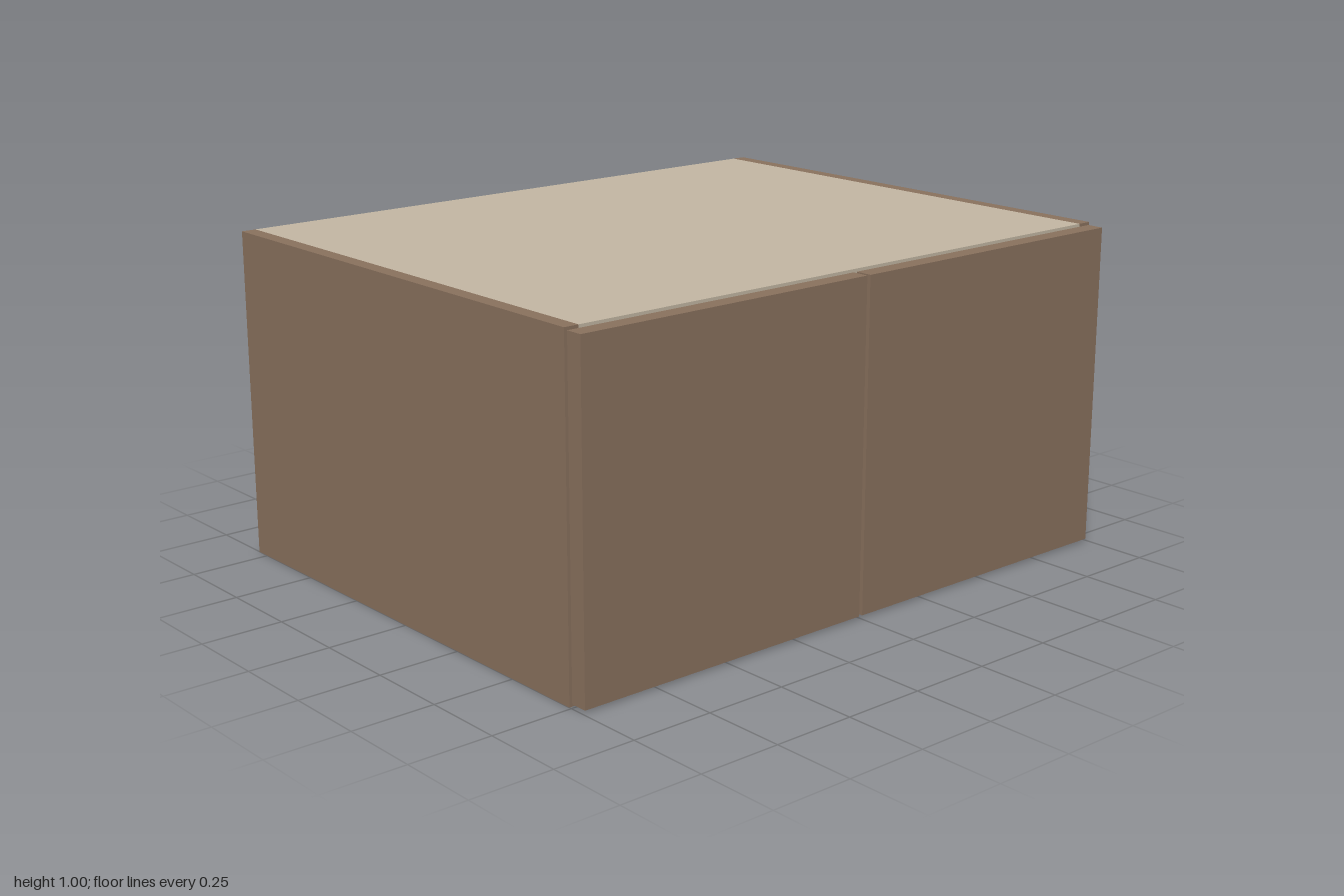
import * as THREE from 'three';

export function createModel() {
  const model = new THREE.Group();
  model.name = 'cabinet';

  const brown = new THREE.MeshStandardMaterial({ color: 0x8a725e });
  brown.name = 'brown wood';
  const beige = new THREE.MeshStandardMaterial({ color: 0xc4b8a4 });
  beige.name = 'beige board';

  // Box given by its lower and upper corners
  function panel(name, material, [x0, y0, z0], [x1, y1, z1]) {
    const mesh = new THREE.Mesh(new THREE.BoxGeometry(x1 - x0, y1 - y0, z1 - z0), material);
    mesh.position.set((x0 + x1) / 2, (y0 + y1) / 2, (z0 + z1) / 2);
    mesh.name = name;
    model.add(mesh);
  }

  const T = 0.045; // board thickness
  const inner = 1 - T;
  const back = -0.797;
  const carcassFront = 0.742;
  const doorBack = 0.745;
  const doorFront = 0.797;

  // Side boards and doors, mirrored about x = 0
  for (const [side, s] of [['left', 1], ['right', -1]]) {
    const span = (a, b) => (s > 0 ? [a, b] : [-b, -a]);
    const [a, b] = span(inner, 1);
    panel(side + 'Side', brown, [a, 0, back], [b, 1, carcassFront]);
    const [c, d] = span(0.006, 0.993);
    panel(side + 'Door', brown, [c, 0.008, doorBack], [d, 0.992, doorFront]);
  }

  // Boards fitted between the sides
  panel('bottomBoard', beige, [-inner, 0, back], [inner, T, carcassFront]);
  panel('topBoard', beige, [-inner, 1 - T, back], [inner, 1, carcassFront]);
  panel('backBoard', beige, [-inner, T, back], [inner, 1 - T, back + T]);

  return model;
}
